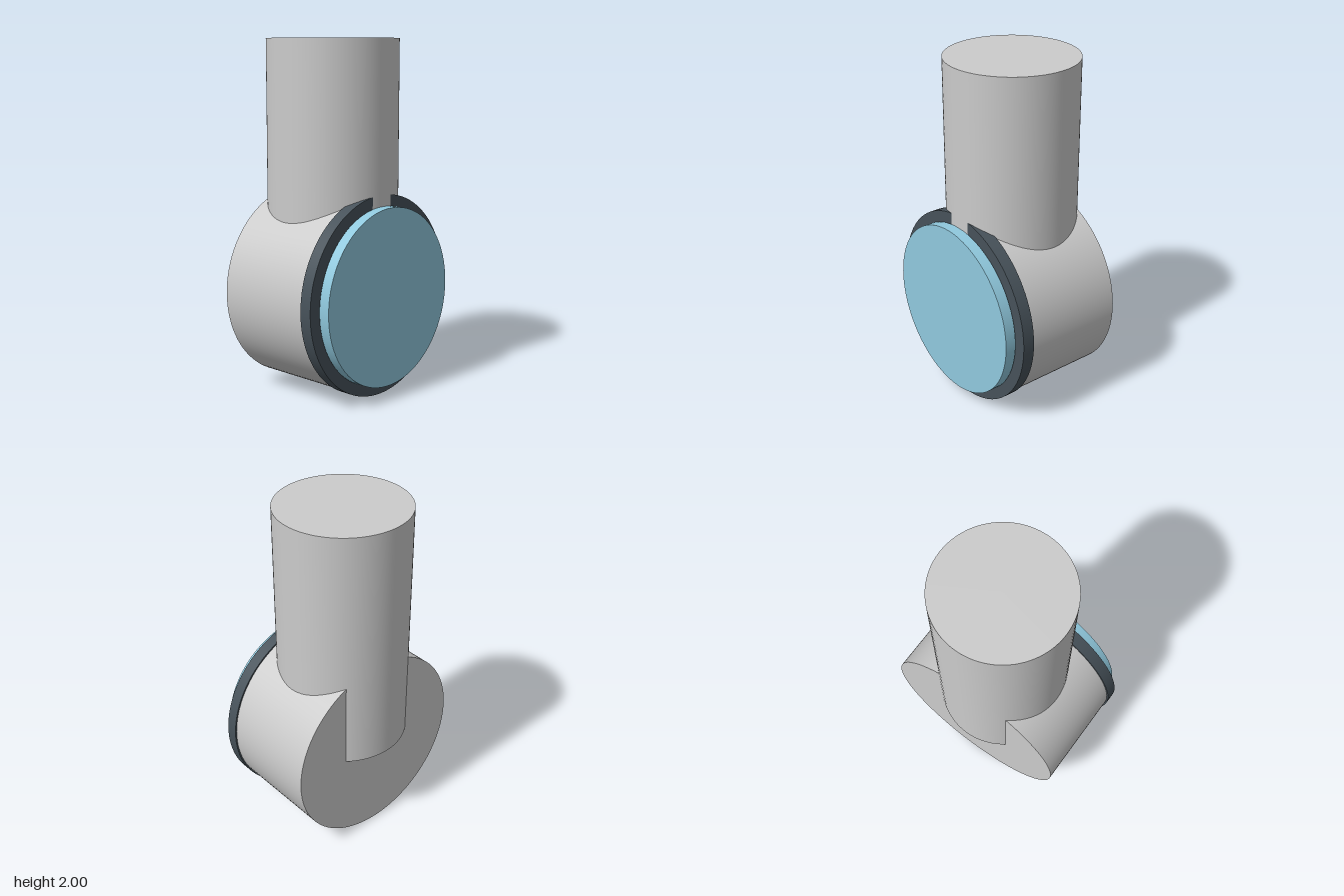
import * as THREE from 'three';

const AXIS_Y = 0.574; // height of the horizontal drum axis

function cylinder(name, radius, length, color) {
  const mesh = new THREE.Mesh(
    new THREE.CylinderGeometry(radius, radius, length, 96),
    new THREE.MeshStandardMaterial({ color })
  );
  mesh.name = name;
  return mesh;
}

// Cylinder lying along z between two depths
function drum(name, radius, zBack, zFront, color) {
  const mesh = cylinder(name, radius, zFront - zBack, color);
  mesh.rotation.x = Math.PI / 2;
  mesh.position.set(0, AXIS_Y, (zBack + zFront) / 2);
  return mesh;
}

export function createModel() {
  const group = new THREE.Group();
  group.name = 'cappedPipeJoint';

  // Upright post, ending at the drum axis and breaking through its back
  const post = cylinder('post', 0.376, 1.424, 0xcccccc);
  post.position.set(0, 1.288, -0.032);
  group.add(post);

  // Horizontal body, dark rim and raised coloured face
  group.add(drum('body', 0.563, -0.327, 0.28, 0xcccccc));
  group.add(drum('rim', 0.572, 0.265, 0.336, 0x47525a));
  group.add(drum('facePlate', 0.507, 0.342, 0.406, 0x90c9de));

  return group;
}
